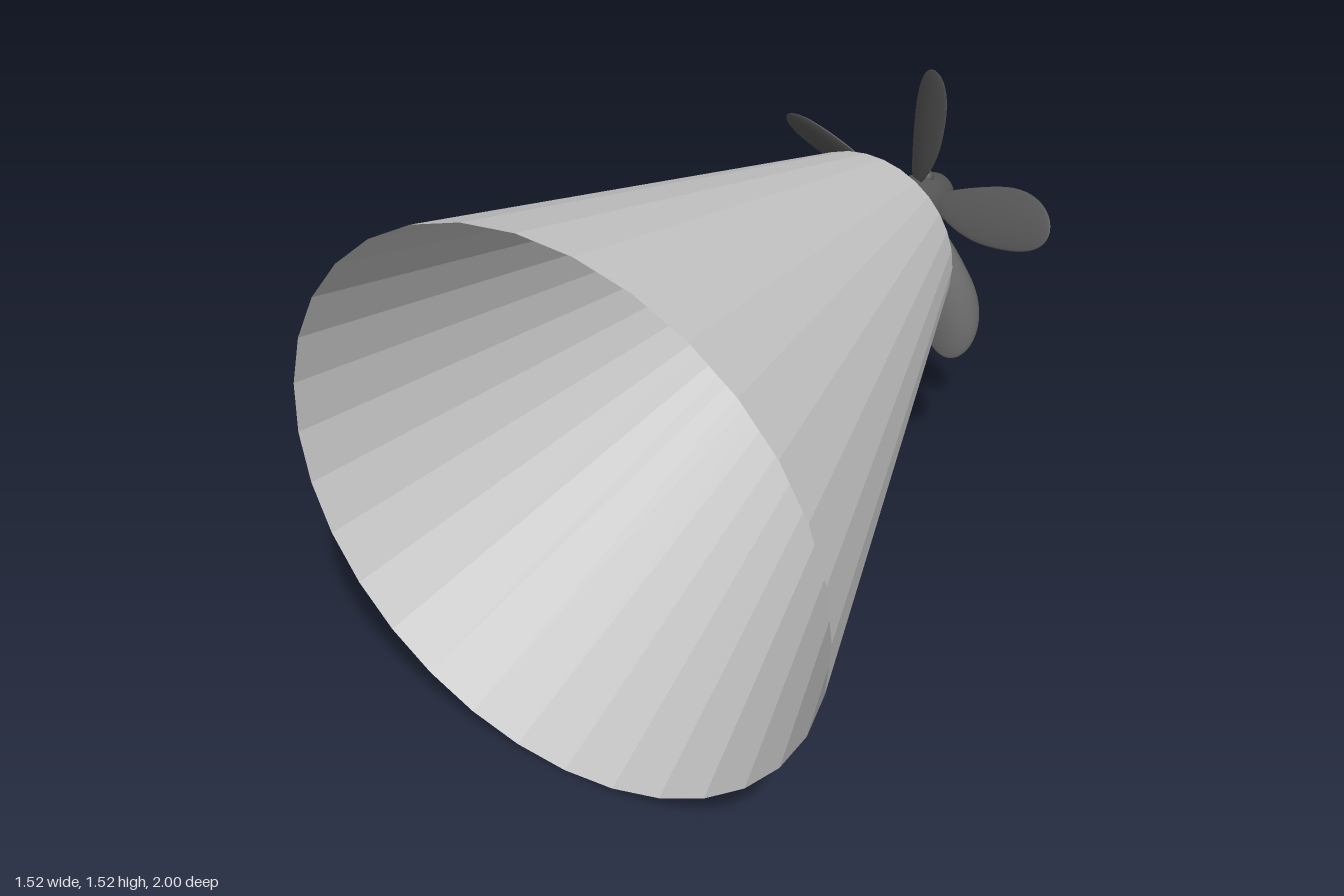
import * as THREE from 'three';
import { toCreasedNormals } from 'three/addons/utils/BufferGeometryUtils.js';

const HUB_X = -0.015, HUB_Y = 0.868;
const PITCH = THREE.MathUtils.degToRad(37);

function mesh(name, geometry, material) {
  const m = new THREE.Mesh(geometry, material);
  m.name = name;
  return m;
}

// Paddle blade: a flattened sphere along y, widened outward, skewed and raked to the front
function bladeGeometry() {
  const g = new THREE.SphereGeometry(1, 24, 24);
  const p = g.attributes.position;
  const c = Math.cos(PITCH), s = Math.sin(PITCH);
  for (let i = 0; i < p.count; i++) {
    const span = p.getY(i);
    const chord = p.getX(i) * 0.092 * (1 + 0.25 * span) + 0.025 * span * Math.abs(span);
    const thick = p.getZ(i) * 0.008 - 1.2 * chord * chord;
    const rake = -0.003 + 0.025 * span;
    p.setXYZ(i, chord * c - thick * s, 0.272 + 0.203 * span, chord * s + thick * c + rake);
  }
  g.computeVertexNormals();
  return g;
}

export function createModel() {
  const root = new THREE.Group();
  root.name = 'coneWithPropeller';
  const lightGrey = new THREE.MeshStandardMaterial({ color: 0xc6c6c6, flatShading: true, side: THREE.DoubleSide });
  lightGrey.name = 'light grey';
  const darkGrey = new THREE.MeshStandardMaterial({ color: 0x575757 });
  darkGrey.name = 'dark grey';

  // Open faceted cone, its rims leaning slightly
  const front = new THREE.Vector3(-0.002, 0.762, 0.968);
  const back = new THREE.Vector3(-0.02, 0.867, -0.55);
  const across = new THREE.Vector3(1, 0, -0.013);
  const up = new THREE.Vector3(0, 1, 0.042);
  const axis = front.clone().sub(back);
  const coneFrame = new THREE.Matrix4()
    .makeBasis(across, axis, up.clone().negate())
    .setPosition(front.clone().add(back).multiplyScalar(0.5));
  const shell = new THREE.CylinderGeometry(0.761, 0.287, 1, 32, 1, true, -0.02);
  root.add(mesh('coneShell', shell.applyMatrix4(coneFrame), lightGrey));

  // Plate closing the narrow end
  const capFrame = new THREE.Matrix4()
    .makeBasis(across, up, across.clone().cross(up)).setPosition(back);
  const cap = new THREE.CircleGeometry(0.287, 32, Math.PI / 2 - 0.02);
  root.add(mesh('backPlate', cap.applyMatrix4(capFrame), lightGrey));

  // Propeller assembly, centred on its own axis
  const propeller = new THREE.Group();
  propeller.name = 'propeller';
  propeller.position.set(HUB_X, HUB_Y, 0);
  root.add(propeller);

  const shaft = mesh('shaft', new THREE.CylinderGeometry(0.056, 0.056, 0.21, 32), darkGrey);
  shaft.rotation.x = -Math.PI / 2;
  shaft.position.z = -0.645;
  propeller.add(shaft);

  // Hub barrel with a tapering tail
  const profile = [
    [0, 0.722], [0.08, 0.722], [0.092, 0.727], [0.097, 0.74], [0.097, 0.84], [0.093, 0.855],
    [0.093, 0.875], [0.085, 0.92], [0.074, 0.965], [0.061, 1], [0, 1],
  ].map(([r, d]) => new THREE.Vector2(r, d));
  const hub = mesh('hub', toCreasedNormals(new THREE.LatheGeometry(profile, 40), 0.6), darkGrey);
  hub.rotation.x = -Math.PI / 2;
  propeller.add(hub);

  // Five blades, each with a round bolt behind its root
  const blade = bladeGeometry();
  const bolt = new THREE.SphereGeometry(0.024, 16, 12);
  for (let i = 0; i < 5; i++) {
    const arm = new THREE.Group();
    arm.name = 'bladeArm' + (i + 1);
    arm.rotation.z = THREE.MathUtils.degToRad(-8 + 72 * i);
    arm.position.z = -0.825;
    arm.add(mesh('blade', blade, darkGrey));
    const b = mesh('bolt', bolt, darkGrey);
    b.position.set(0, 0.086, -0.075);
    arm.add(b);
    propeller.add(arm);
  }
  return root;
}
